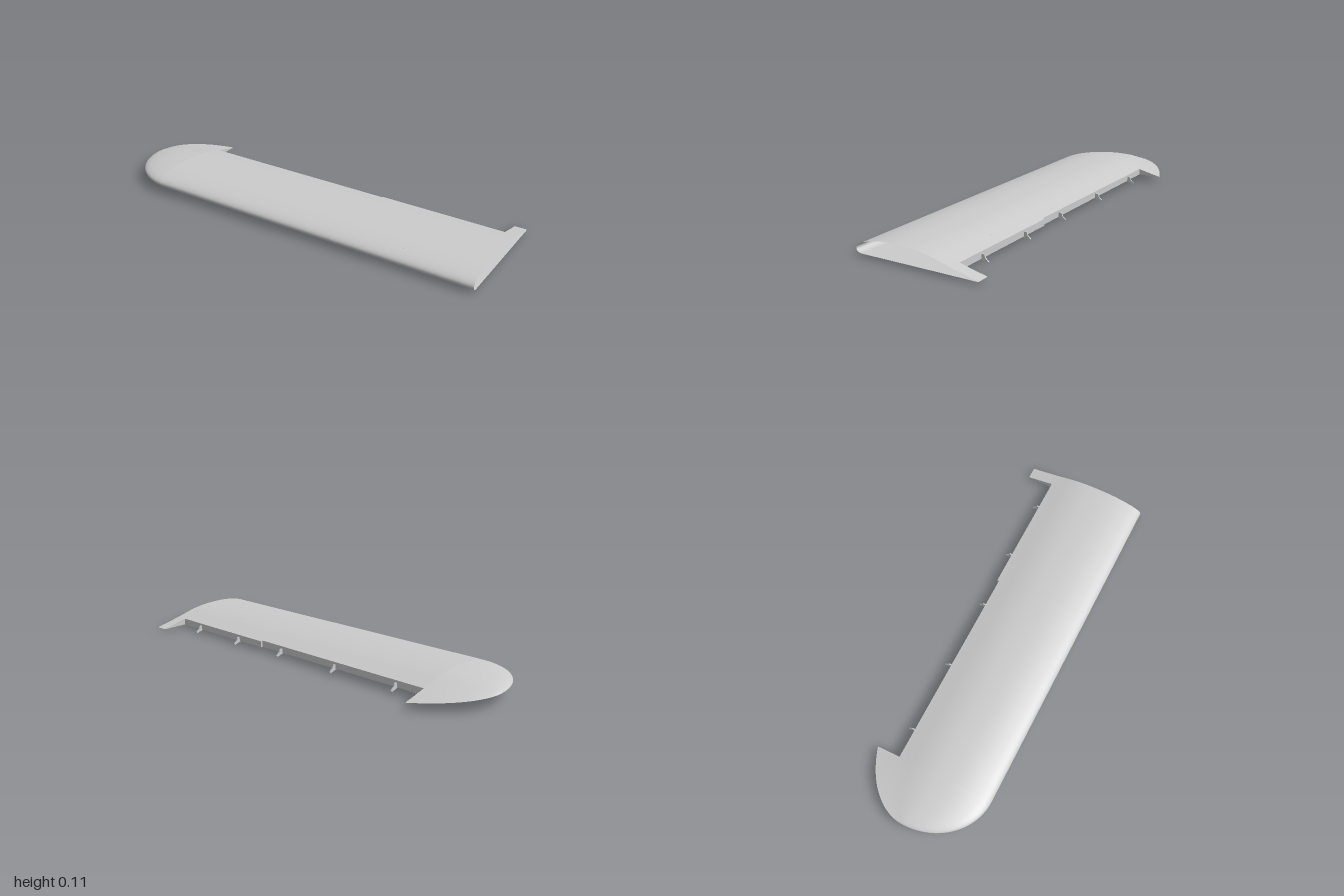
import * as THREE from 'three';

const material = new THREE.MeshStandardMaterial({ color: 0xcccccc, side: THREE.DoubleSide });
const flatMaterial = new THREE.MeshStandardMaterial({ color: 0xcccccc, side: THREE.DoubleSide, flatShading: true });

const TIP = -0.73, ROOT = 0.94, STEP = 0.3; // span stations
const tipRatio = (x) => Math.min(1, Math.max(0, (-0.72 - x) / 0.28));

// Planform: leading and trailing edge
const leading = (x) => 0.316 * Math.sqrt(1 - tipRatio(x) ** 2);
function trailing(x) {
  if (x > TIP) return THREE.MathUtils.mapLinear(x, TIP, 1, -0.292, -0.315);
  return -0.34 * Math.sqrt(Math.max(0, 1 - ((-0.45 - x) / 0.55) ** 2));
}

// Upper camber as height over the root of the chord fraction
const camber = new THREE.SplineCurve([
  [0, 0.02], [0.12, 0.036], [0.224, 0.049], [0.316, 0.059], [0.447, 0.071], [0.557, 0.076],
  [0.67, 0.074], [0.742, 0.068], [0.806, 0.056], [0.877, 0.036], [1, 0.002],
].map(([s, h]) => new THREE.Vector2(s, h))).getPoints(300);

function upperHeight(f) {
  const s = Math.sqrt(Math.min(1, Math.max(0, f)));
  let i = 1;
  while (i < camber.length - 1 && camber[i].x < s) i++;
  const a = camber[i - 1], b = camber[i];
  return THREE.MathUtils.mapLinear(s, a.x, b.x, a.y, b.y);
}

function lowerHeight(f) {
  const k = 1 - Math.min(1, Math.max(0, f) / 0.05);
  return 0.02 * (1 - Math.sqrt(1 - k * k));
}

// Surface height at a point of the planform, with dihedral and tip thinning
const dihedral = (x) => 0.0105 * (1 - x);
function height(x, z, upper) {
  const s = tipRatio(x);
  const f = (leading(x) - z) / Math.max(1e-5, leading(x) - trailing(x));
  const base = 0.012 + dihedral(x) + 0.027 * s;
  return base + (upper ? upperHeight(f) : lowerHeight(f)) * Math.pow(1 - s, 0.6);
}

function gridGeometry(rows) {
  const n = rows[0].length, index = [];
  for (let i = 0; i < rows.length - 1; i++) {
    for (let j = 0; j < n - 1; j++) {
      const a = i * n + j, b = a + n;
      index.push(a, a + 1, b, a + 1, b + 1, b);
    }
  }
  const geometry = new THREE.BufferGeometry();
  geometry.setAttribute('position', new THREE.Float32BufferAttribute(rows.flat(2), 3));
  geometry.setIndex(index);
  geometry.computeVertexNormals();
  return geometry;
}

// Skin from the rear edge over the nose and back underneath
function skin(name, stations, rear) {
  const half = 36;
  const rows = stations.map((x) => {
    const row = [];
    for (let j = -half; j <= half; j++) {
      const z = THREE.MathUtils.lerp(leading(x), rear(x), (j / half) ** 2);
      row.push([x, height(x, z, j <= 0), z]);
    }
    return row;
  });
  const mesh = new THREE.Mesh(gridGeometry(rows), material);
  mesh.name = name;
  return mesh;
}

// Upright wall between lower and upper skin along a path of [x, z]; lean shifts its foot in x
function wall(name, path, lean = 0) {
  const group = new THREE.Group();
  group.name = name;
  for (let p = 0; p < path.length - 1; p++) {
    const rows = [];
    for (let i = 0; i <= 10; i++) {
      const x = THREE.MathUtils.lerp(path[p][0], path[p + 1][0], i / 10);
      const z = THREE.MathUtils.lerp(path[p][1], path[p + 1][1], i / 10);
      const foot = x + lean * (p % 2 ? 1 - i / 10 : i / 10);
      rows.push([[x, height(x, z, true), z], [foot, height(foot, z, false), z]]);
    }
    const mesh = new THREE.Mesh(gridGeometry(rows), flatMaterial);
    mesh.name = name + 'Panel';
    group.add(mesh);
  }
  return group;
}

const range = (a, b, n) => Array.from({ length: n + 1 }, (_, i) => a + ((b - a) * i) / n);

export function createModel() {
  const wing = new THREE.Group();
  wing.name = 'wing';

  // Rounded tip, with stations closing up toward the end
  const tipStations = range(0, 1, 28).map((t) => -1 + (1 + TIP) * t * t);
  wing.add(skin('wingTip', tipStations, trailing));

  // Main panels cut short for the control surfaces, and the full-chord root
  wing.add(skin('outerPanel', range(TIP, STEP, 20), () => -0.17));
  wing.add(skin('innerPanel', range(STEP, ROOT, 12), () => -0.18));
  wing.add(skin('rootPanel', range(ROOT, 1, 2), trailing));

  // Rear spar and the sides of the cutout
  wing.add(wall('rearSpar', [
    [TIP, trailing(TIP)], [TIP, -0.17], [STEP, -0.17], [STEP, -0.18], [ROOT, -0.18], [ROOT, trailing(ROOT)],
  ]));

  // Faceted break surface inside the open root
  wing.add(wall('innerBulkhead', [
    [0.72, 0.314], [0.7, 0.265], [0.58, 0.24], [0.65, 0.13], [0.68, 0.07], [0.6, 0], [0.63, -0.1], [0.68, -0.18],
  ], 0.05));

  // Hinge brackets along the rear spar
  const outline = new THREE.Shape([
    [0.15, 0.036], [0.19, 0.036], [0.195, 0.02], [0.211, 0.006], [0.208, 0], [0.185, 0.007], [0.165, 0.012], [0.15, 0.014],
  ].map(([x, y]) => new THREE.Vector2(x, y)));
  const bracket = new THREE.ExtrudeGeometry(outline, { depth: 0.006, bevelEnabled: false });
  bracket.translate(0, 0, -0.003).rotateY(Math.PI / 2);
  for (const x of [-0.58, -0.21, 0.155, 0.47, 0.79]) {
    const mesh = new THREE.Mesh(bracket, flatMaterial);
    mesh.name = 'hingeBracket';
    mesh.position.set(x, dihedral(x) - dihedral(0.79), x > STEP ? -0.004 : 0.004);
    wing.add(mesh);
  }
  return wing;
}
